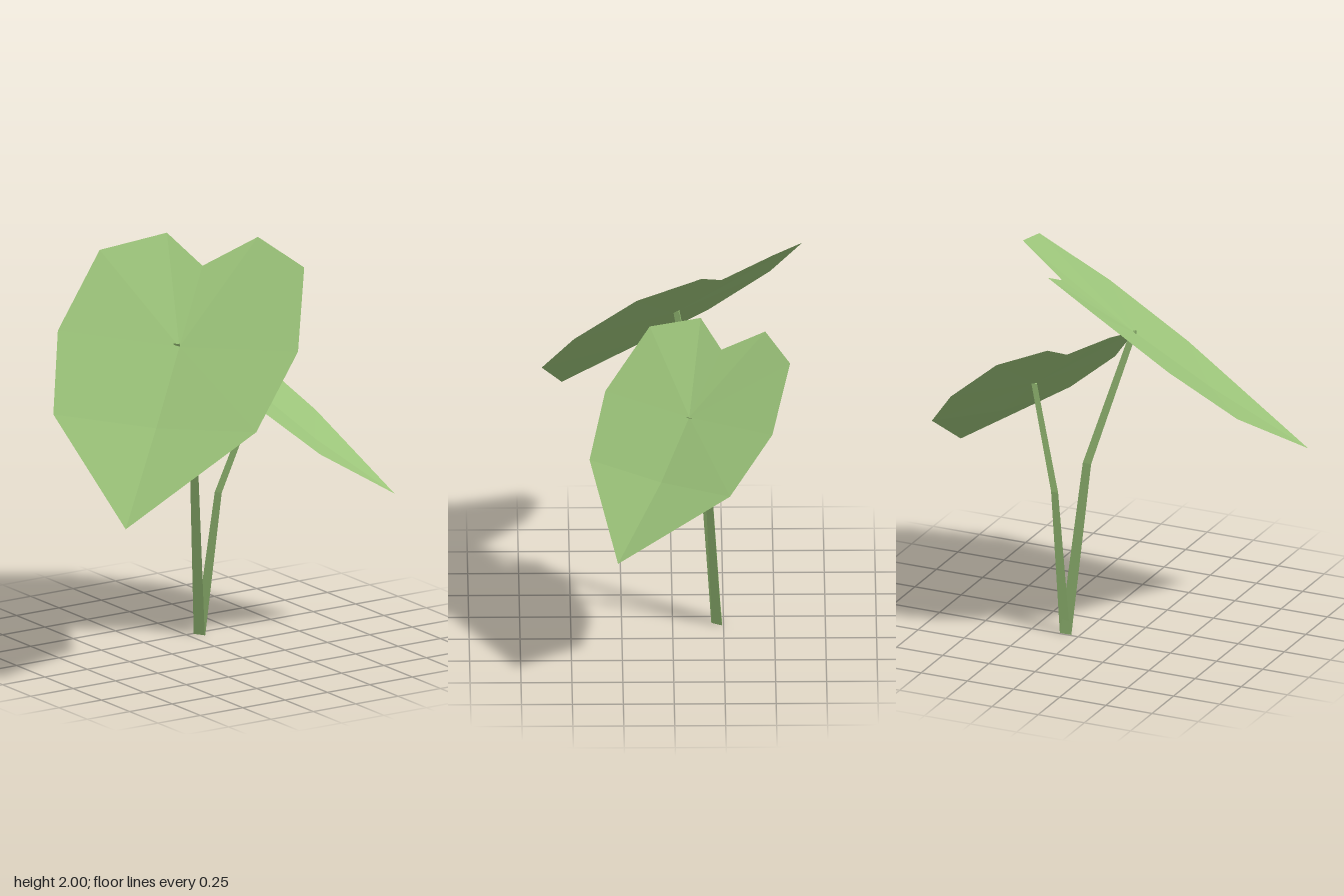
import * as THREE from 'three';

const leafGreen = new THREE.MeshStandardMaterial({ color: 0x9cc47a, side: THREE.DoubleSide, flatShading: true });
leafGreen.name = 'leafGreen';

function facetedMesh(name, points, triangles) {
  const geometry = new THREE.BufferGeometry();
  geometry.setAttribute('position', new THREE.Float32BufferAttribute(triangles.flat().flatMap(i => points[i]), 3));
  geometry.computeVertexNormals();
  const mesh = new THREE.Mesh(geometry, leafGreen);
  mesh.name = name;
  return mesh;
}

// Heart-shaped leaf: outline from tip (0) round to the notch (5) and back,
// folded along a midrib through heart (10) and lower rib (11)
function makeLeaf(name, outline, heart, rib) {
  const triangles = [[0, 11, 1], [0, 9, 11], [1, 11, 10], [11, 9, 10], [1, 10, 2], [9, 8, 10]];
  for (let i = 2; i < 8; i++) triangles.push([i, 10, i + 1]);
  return facetedMesh(name, [...outline, heart, rib], triangles);
}

// Tapering three-sided stalk with its ridge to the front
function makeStem(name, path, radii) {
  const points = [], triangles = [];
  path.forEach(([x, y, z], ring) => {
    for (let k = 0; k < 3; k++) {
      const a = (k * 2 * Math.PI) / 3;
      points.push([x + radii[ring] * Math.sin(a), y, z + radii[ring] * Math.cos(a)]);
    }
  });
  for (let ring = 0; ring < path.length - 1; ring++) {
    for (let k = 0; k < 3; k++) {
      const a = ring * 3 + k, b = ring * 3 + (k + 1) % 3;
      triangles.push([a, b, b + 3], [a, b + 3, a + 3]);
    }
  }
  return facetedMesh(name, points, triangles);
}

export function createModel() {
  const plant = new THREE.Group();
  plant.name = 'plant';

  plant.add(makeLeaf('largeLeaf', [
    [-0.88, 0.86, 0.535], [-0.83, 1.27, -0.18], [-0.6, 1.59, -0.485], [-0.25, 1.91, -0.64], [0.05, 1.985, -0.495],
    [0.09, 1.87, -0.24], [0.35, 2.0, -0.14], [0.41, 1.91, 0.18], [0.17, 1.59, 0.485], [-0.18, 1.27, 0.64],
  ], [-0.2, 1.555, -0.01], [-0.49, 1.24, 0.22]));

  plant.add(makeLeaf('smallLeaf', [
    [0.88, 0.705, 0.275], [0.35, 1.02, 0.41], [0.07, 1.26, 0.33], [-0.14, 1.51, 0.11], [-0.12, 1.565, -0.14],
    [0.065, 1.48, -0.24], [0.07, 1.58, -0.455], [0.29, 1.51, -0.575], [0.58, 1.26, -0.485], [0.78, 1.02, -0.275],
  ], [0.31, 1.23, -0.08], [0.55, 0.99, 0.06]));

  plant.add(makeStem('largeLeafStem',
    [[0.07, 0, -0.225], [-0.01, 0.89, -0.155], [-0.2, 1.57, -0.025]], [0.035, 0.026, 0.02]));
  plant.add(makeStem('smallLeafStem',
    [[0.075, 0, -0.225], [0.152, 0.72, -0.185], [0.31, 1.23, -0.085]], [0.032, 0.022, 0.018]));

  return plant;
}
